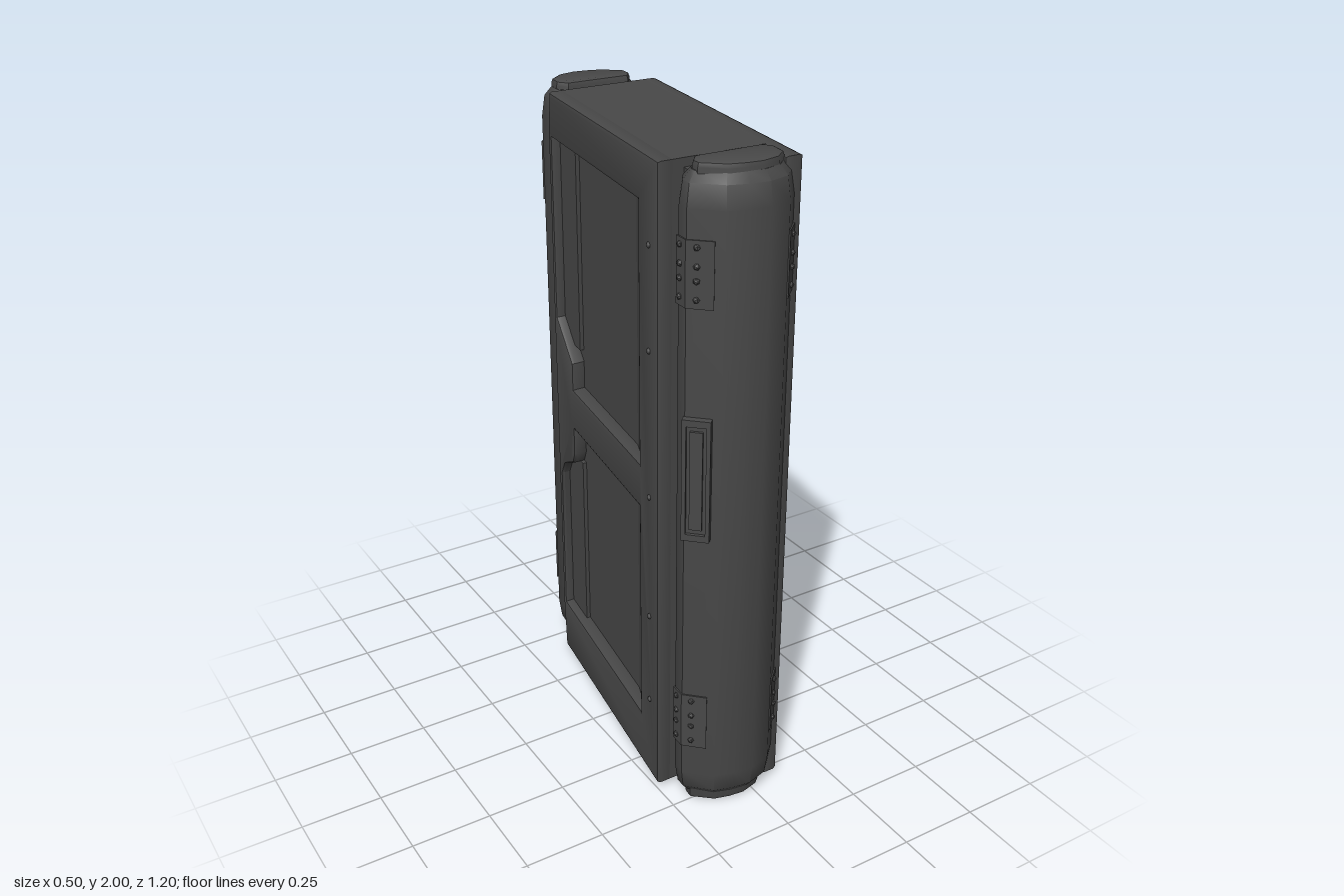
import * as THREE from 'three';
import { toCreasedNormals } from 'three/addons/utils/BufferGeometryUtils.js';

export function createModel() {
  const model = new THREE.Group();
  model.name = 'slidingDoor';
  const metal = new THREE.MeshStandardMaterial({ color: 0x484848 });
  metal.name = 'dark metal';

  // The slab leans in plan: x shifts as z grows
  const SLOPE = 0.148;
  const lean = new THREE.Matrix4().set(1, 0, -SLOPE, 0, 0, 1, 0, 0, 0, 0, 1, 0, 0, 0, 0, 1);

  const add = (parent, name, geometry) => {
    const mesh = new THREE.Mesh(geometry, metal);
    mesh.name = name;
    parent.add(mesh);
    return mesh;
  };
  const box = (x0, x1, y0, y1, z0, z1) =>
    new THREE.BoxGeometry(x1 - x0, y1 - y0, z1 - z0)
      .translate((x0 + x1) / 2, (y0 + y1) / 2, (z0 + z1) / 2);
  const path = (points, Type = THREE.Shape) =>
    new Type(points.map(([a, b]) => new THREE.Vector2(a, b)));

  // Upright prism from a plan outline of [x, z], with chamfered ends
  function prism(outline, y0, y1, chamfer = 0, inset = 0) {
    const g = new THREE.ExtrudeGeometry(path(outline.map(([x, z]) => [x, -z])), {
      depth: y1 - y0 - 2 * chamfer, bevelEnabled: chamfer > 0, bevelThickness: chamfer,
      bevelSize: inset, bevelOffset: -inset, bevelSegments: 2,
    });
    g.rotateX(-Math.PI / 2).translate(0, y0 + chamfer, 0);
    return toCreasedNormals(g, 0.65);
  }

  // Slab core and the necks that join the end posts
  const slab = new THREE.Group();
  slab.name = 'slab';
  model.add(slab);
  add(slab, 'slabCore', box(-0.145, 0.145, 0.015, 1.985, -0.41, 0.405).applyMatrix4(lean));
  add(slab, 'postNeck', box(-0.11, 0.11, 0.03, 1.96, -0.47, 0.47).applyMatrix4(lean));

  // Recess outlines in [z, y], each with one cut corner
  const upper = [[0.4, 1.85], [0.4, 1.27], [0.27, 1.16], [0.27, 1.07], [-0.27, 1.07], [-0.27, 1.85]];
  const lower = [[0.4, 0.2], [0.4, 0.71], [0.37, 0.76], [0.29, 0.8], [0.27, 0.84], [0.27, 0.93],
    [-0.27, 0.93], [-0.27, 0.2]];

  // One raised frame with two recessed panels per side
  for (const [side, z0, z1] of [[1, -0.41, 0.535], [-1, -0.405, 0.41]]) {
    const turn = (g) => {
      if (side < 0) g.rotateY(Math.PI);
      return g.applyMatrix4(lean);
    };
    const face = path([[z0, 0.015], [z1, 0.015], [z1, 1.985], [z0, 1.985]]);
    face.holes.push(path(upper, THREE.Path), path(lower, THREE.Path));
    const frame = new THREE.ExtrudeGeometry(face, {
      depth: 0.034, bevelThickness: 0.012, bevelSize: 0.012, bevelOffset: -0.012, bevelSegments: 2,
    });
    frame.rotateY(-Math.PI / 2).translate(0.178, 0, 0);
    add(slab, 'panelFrame', turn(toCreasedNormals(frame, 0.6)));

    // Stepped strip and sloped edge inside each recess
    for (const [y0, y1, s0, s1] of [[1.07, 1.85, 1.2, 1.85], [0.2, 0.93, 0.2, 0.8]]) {
      add(slab, 'recessStep', turn(box(0.14, 0.158, s0, s1, 0.27, 0.4)));
      const ramp = prism([[0.14, -0.17], [0.146, -0.17], [0.172, -0.27], [0.14, -0.27]], y0, y1);
      add(slab, 'recessRamp', turn(ramp));
    }

    // Small rivets along the frame edges
    for (const y of [0.3, 0.6, 1.0, 1.45, 1.75]) {
      const rivet = new THREE.SphereGeometry(0.009, 8, 6).translate(0.189, y, -0.35);
      add(slab, 'rivet', turn(rivet));
    }
  }

  // End posts: the back one is the front one turned half round
  const outline = [[-0.19, 0.415], [-0.22, 0.46], [-0.222, 0.5], [-0.15, 0.572], [-0.09, 0.592],
    [-0.03, 0.6], [0.04, 0.58], [0.09, 0.53], [0.1, 0.46], [0.07, 0.415]];
  const capOutline = outline.map(([x, z]) => [-0.06 + (x + 0.06) * 0.8, 0.495 + (z - 0.495) * 0.7]);
  const bandA = [[-0.2, 0.45], [-0.224, 0.455], [-0.226, 0.502], [-0.172, 0.556], [-0.16, 0.54]];
  const bandB = [[0.03, 0.56], [0.042, 0.584], [0.094, 0.532], [0.08, 0.52]];

  for (const [name, angle] of [['frontPost', 0], ['backPost', Math.PI]]) {
    const post = new THREE.Group();
    post.name = name;
    post.rotation.y = angle;
    model.add(post);
    add(post, 'postBody', prism(outline, 0.03, 1.975, 0.09, 0.03));
    add(post, 'postCap', prism(capOutline, 0, 2, 0.015, 0.012));

    // Knobbly hinge bands near the top and bottom
    for (const y of [0.22, 1.62]) {
      add(post, 'hingeBand', prism(bandA, y, y + 0.185));
      add(post, 'hingeBand', prism(bandB, y, y + 0.185));
      for (let i = 0; i < 4; i++) {
        const h = y + 0.025 + i * 0.045;
        for (const [x, z] of [[-0.225, 0.475], [-0.205, 0.523], [0.068, 0.558]]) {
          const knob = new THREE.IcosahedronGeometry(0.01, 0);
          knob.rotateY(i + x).translate(x, h + (i % 2) * 0.006, z);
          add(post, 'hingeKnob', knob);
        }
      }
    }

    // Pull handle: a backing plate with a raised rim and grip
    const handle = new THREE.Group();
    handle.name = 'handle';
    handle.position.set(-0.196, 1.125, 0.525);
    handle.rotation.y = -Math.PI / 4;
    post.add(handle);
    add(handle, 'handlePlate', box(-0.04, 0.04, -0.185, 0.185, -0.01, 0.012));
    add(handle, 'handleGrip', box(-0.018, 0.018, -0.15, 0.15, 0.012, 0.02));
    for (const s of [-1, 1]) {
      add(handle, 'handleRim', box(-0.04, 0.04, -0.01, 0.01, 0.01, 0.022)).position.y = s * 0.175;
      add(handle, 'handleRim', box(-0.006, 0.006, -0.185, 0.185, 0.01, 0.022)).position.x = s * 0.034;
    }
  }
  return model;
}
